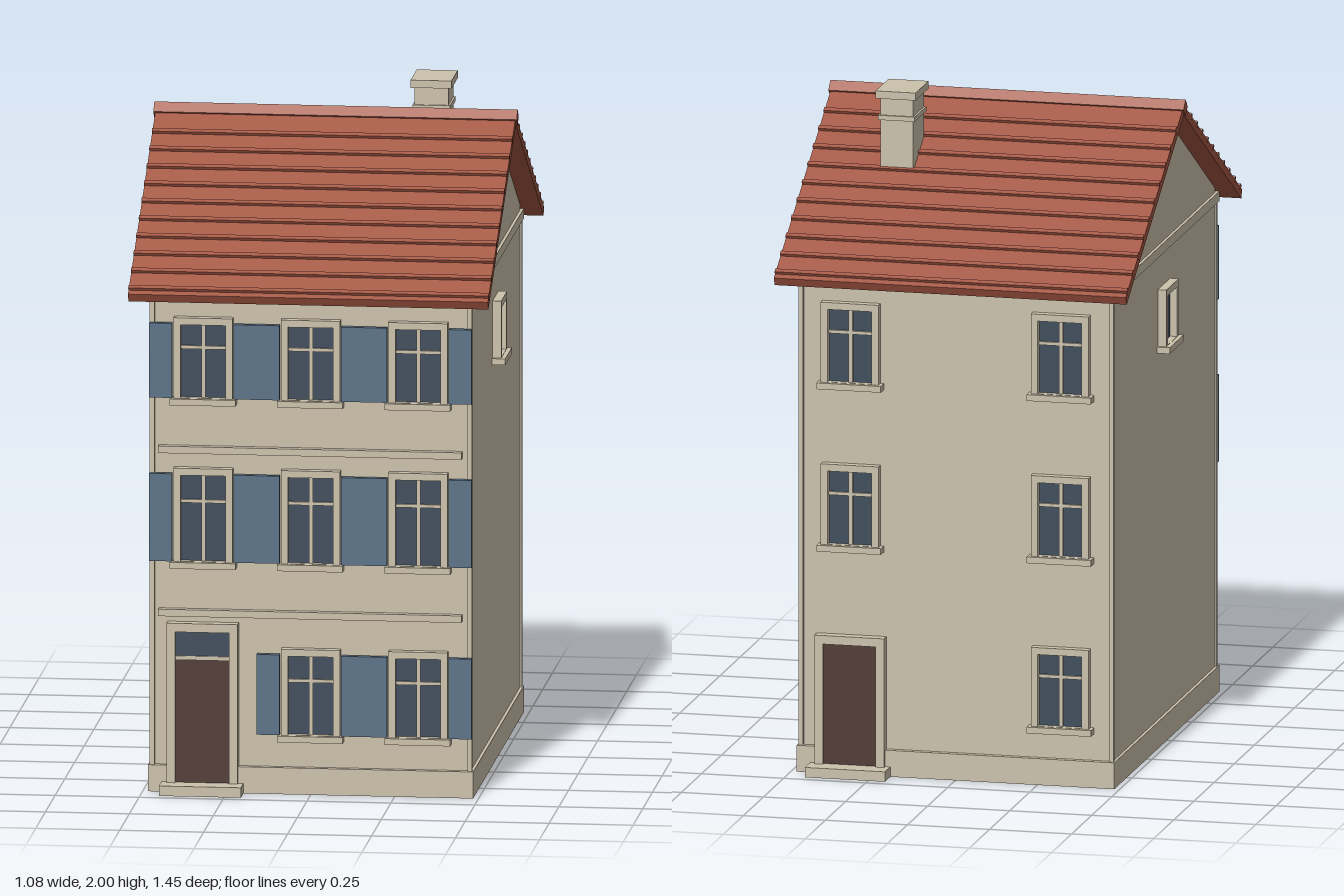
import * as THREE from 'three';

const flat = (name, color) => Object.assign(new THREE.MeshStandardMaterial({ color }), { name });

export function createModel() {
  const plaster = flat('plaster', 0xccc2ac);
  const tile = flat('roof tile', 0xa35642);
  const shutterBlue = flat('shutter blue', 0x5c7388);
  const glass = flat('window glass', 0x3f4d5c);
  const doorBrown = flat('door brown', 0x503a35);

  const model = new THREE.Group();
  model.name = 'townHouse';

  const add = (parent, name, geo, mat) => {
    const mesh = new THREE.Mesh(geo, mat);
    mesh.name = name;
    parent.add(mesh);
    return mesh;
  };
  // Box given by its low and high limits on each axis
  const box = (parent, name, mat, x0, x1, y0, y1, z0, z1) => {
    const mesh = add(parent, name, new THREE.BoxGeometry(x1 - x0, y1 - y0, z1 - z0), mat);
    mesh.position.set((x0 + x1) / 2, (y0 + y1) / 2, (z0 + z1) / 2);
    return mesh;
  };
  // Cross-section in (z, y), extruded along x
  const prism = (parent, name, mat, points, width) => {
    const shape = new THREE.Shape(points.map(([z, y]) => new THREE.Vector2(z, y)));
    const geo = new THREE.ExtrudeGeometry(shape, { depth: width, bevelEnabled: false });
    geo.translate(0, 0, -width / 2).rotateY(-Math.PI / 2);
    return add(parent, name, geo, mat);
  };
  // Rectangular surround with an opening, standing on the wall plane z = 0
  const surround = (parent, name, w, y0, y1, border, bottom, depth) => {
    const rect = (path, x, lo, hi) =>
      path.moveTo(-x, lo).lineTo(x, lo).lineTo(x, hi).lineTo(-x, hi).closePath();
    const shape = rect(new THREE.Shape(), w / 2 + border, y0 - bottom, y1 + border);
    shape.holes.push(rect(new THREE.Path(), w / 2, y0, y1));
    add(parent, name, new THREE.ExtrudeGeometry(shape, { depth, bevelEnabled: false }), plaster);
  };

  const FRONT = 0.637, SIDE = 0.475;
  const walls = {
    front: { turn: 0, place: (u) => [u, 0, FRONT] },
    back: { turn: Math.PI, place: (u) => [u, 0, -FRONT] },
    left: { turn: Math.PI / 2, place: (u) => [SIDE, 0, u] },
    right: { turn: -Math.PI / 2, place: (u) => [-SIDE, 0, u] },
  };
  const onWall = (wall, name, u) => {
    const g = new THREE.Group();
    g.name = name;
    g.position.set(...walls[wall].place(u));
    g.rotation.y = walls[wall].turn;
    model.add(g);
    return g;
  };

  // Window: pane, surround, sill, and optional glazing bars and shutters
  const addWindow = (wall, u, y0, y1, { w = 0.134, bar = 0, shutters = false } = {}) => {
    const g = onWall(wall, wall + 'Window', u);
    box(g, 'pane', glass, -w / 2, w / 2, y0, y1, -0.004, 0.005);
    surround(g, 'windowSurround', w, y0, y1, 0.021, 0.005, 0.026);
    box(g, 'sill', plaster, -w / 2 - 0.031, w / 2 + 0.031, y0 - 0.02, y0 - 0.001, 0, 0.039);
    if (bar) {
      box(g, 'mullion', plaster, -0.006, 0.006, y0, y1, 0, 0.013);
      box(g, 'glazingBar', plaster, -w / 2, w / 2, bar - 0.005, bar + 0.005, 0, 0.012);
    }
    if (shutters) for (const s of [-1, 1]) {
      const c = s * 0.126;
      box(g, 'shutter', shutterBlue, c - 0.034, c + 0.034, y0, y1 + 0.004, 0.009, 0.028);
    }
  };

  // Door: leaf, optional transom light, surround and step
  const addDoor = (wall, u, leafTop, top) => {
    const g = onWall(wall, wall + 'Door', u);
    box(g, 'doorLeaf', doorBrown, -0.08, 0.08, 0.03, leafTop, -0.004, 0.021);
    if (top > leafTop) {
      box(g, 'transomBar', plaster, -0.08, 0.08, leafTop, leafTop + 0.012, 0, 0.026);
      box(g, 'transomLight', glass, -0.08, 0.08, leafTop + 0.012, top, 0.013, 0.022);
    }
    surround(g, 'doorSurround', 0.16, 0.03, top, 0.026, 0, 0.032);
    box(g, 'doorStep', plaster, -0.122, 0.122, 0, 0.03, 0, 0.085);
  };

  // Walls with gables
  prism(model, 'walls', plaster,
    [[-FRONT, 0], [FRONT, 0], [FRONT, 1.535], [0, 1.912], [-FRONT, 1.535]], SIDE * 2);
  box(model, 'plinth', plaster, -0.484, 0.484, 0, 0.08, -0.655, 0.655);
  box(model, 'eavesBand', plaster, -0.484, 0.484, 1.49, 1.52, -0.652, 0.652);
  for (const sx of [-1, 1]) for (const sz of [-1, 1]) {
    const post = add(model, 'cornerStrip', new THREE.BoxGeometry(0.014, 1.41, 0.014), plaster);
    post.position.set(sx * 0.473, 0.785, sz * 0.641);
  }
  for (const y of [0.53, 1.022])
    box(model, 'floorBand', plaster, -0.454, 0.45, y, y + 0.021, 0.63, 0.66);

  // Front openings
  const rows = [[0.18, 0.418, 0.342], [0.697, 0.957, 0.877], [1.19, 1.411, 1.341]];
  rows.forEach(([y0, y1, bar], floor) => {
    for (const x of [-0.32, 0, 0.32])
      if (floor > 0 || x >= 0) addWindow('front', x, y0, y1, { bar, shutters: true });
  });
  addDoor('front', -0.322, 0.4, 0.485);

  // Back openings
  const backRows = [[0.18, 0.398, 0.33], [0.697, 0.92, 0.85], [1.19, 1.411, 1.341]];
  backRows.forEach(([y0, y1, bar], floor) => {
    for (const x of [-0.32, 0.32])
      if (floor > 0 || x < 0) addWindow('back', x, y0, y1, { bar });
  });
  addDoor('back', 0.32, 0.395, 0.395);

  // Small attic windows in both side walls
  for (const wall of ['left', 'right']) addWindow(wall, 0, 1.215, 1.365, { w: 0.112 });

  // Roof: one folded slab, raised tile courses and a ridge
  const roof = new THREE.Group();
  roof.name = 'roof';
  model.add(roof);
  prism(roof, 'roofSlab', tile,
    [[0, 1.932], [-0.724, 1.512], [-0.712, 1.488], [0, 1.902], [0.712, 1.488], [0.724, 1.512]], 1.072);
  const pitch = Math.atan2(0.42, 0.724);
  for (const s of [-1, 1]) for (let i = 0; i < 10; i++) {
    const z = 0.095 + i * 0.0675;
    const course = add(roof, 'tileCourse', new THREE.BoxGeometry(1.073, 0.018, 0.014), tile);
    course.position.set(0, 1.932 - z * Math.tan(pitch), s * z);
    course.rotation.x = s * pitch;
  }
  const ridge = add(roof, 'ridge', new THREE.BoxGeometry(1.082, 0.036, 0.036), tile);
  ridge.position.y = 1.924;
  ridge.rotation.x = Math.PI / 4;

  // Chimney
  const chimney = new THREE.Group();
  chimney.name = 'chimney';
  model.add(chimney);
  box(chimney, 'chimneyShaft', plaster, 0.215, 0.315, 1.7, 1.98, -0.301, -0.168);
  box(chimney, 'chimneyCollar', plaster, 0.209, 0.321, 1.91, 1.924, -0.307, -0.162);
  box(chimney, 'chimneyCap', plaster, 0.204, 0.326, 1.977, 2, -0.317, -0.155);

  return model;
}
